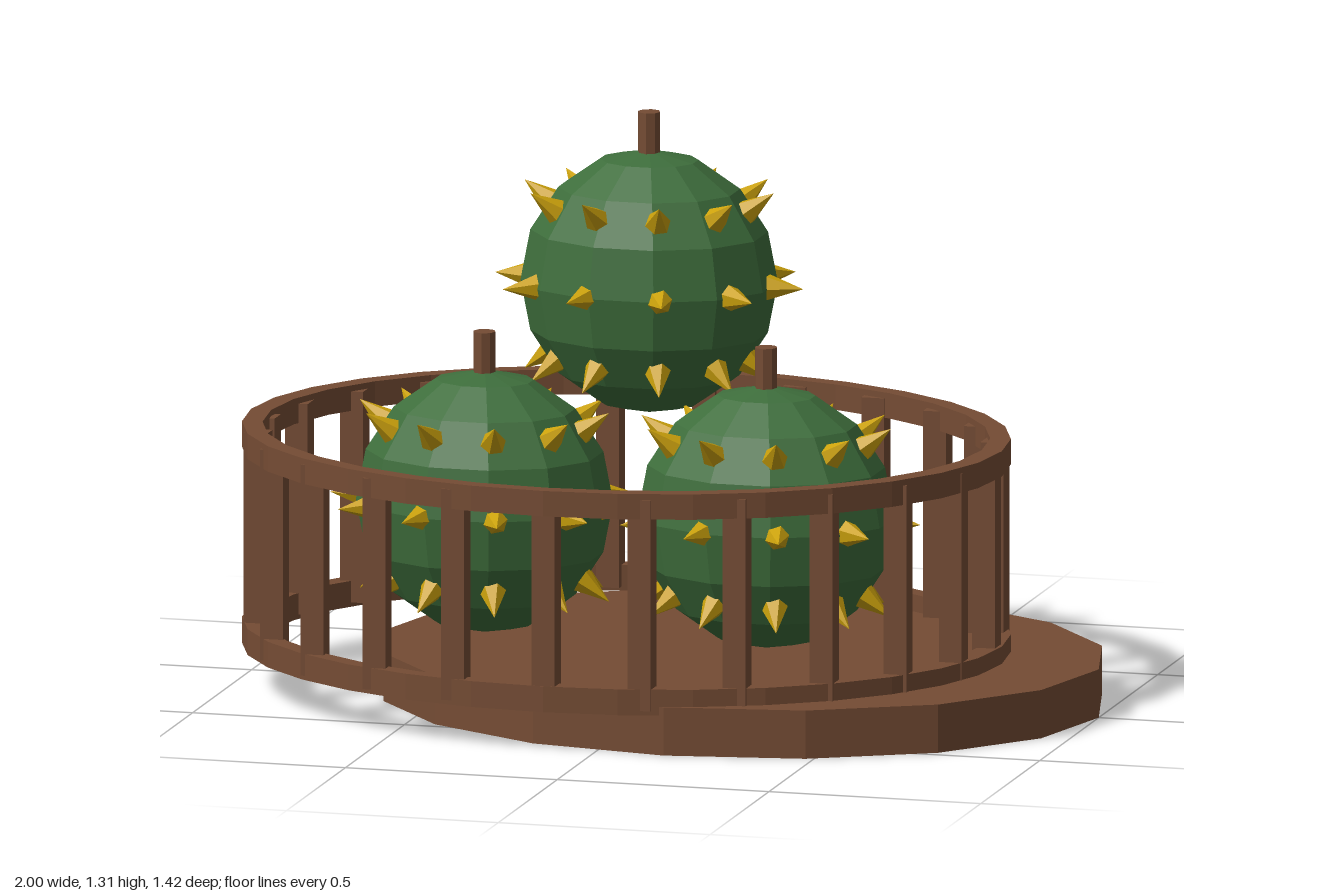
import * as THREE from 'three';

export function createModel() {
  const model = new THREE.Group();
  const material = (name, color) => {
    const m = new THREE.MeshStandardMaterial({ color, flatShading: true });
    m.name = name;
    return m;
  };
  const wood = material('brown wood', 0x754c34);
  const green = material('green rind', 0x3e6e3c);
  const gold = material('golden spike', 0xcca20c);

  const add = (parent, name, geometry, mat, x = 0, y = 0, z = 0) => {
    const mesh = new THREE.Mesh(geometry, mat);
    mesh.name = name;
    mesh.position.set(x, y, z);
    parent.add(mesh);
    return mesh;
  };

  // Oval base slab, offset to the left of the basket
  add(model, 'base', new THREE.CylinderGeometry(1, 1, 0.112, 16).scale(0.84, 1, 0.675), wood, 0.16, 0.056, 0);

  // Basket: two oval rails joined by upright posts
  const basket = new THREE.Group();
  basket.name = 'basket';
  basket.position.x = -0.115;
  model.add(basket);
  const stretch = 1.25;
  const rail = (name, y0, y1) => {
    const profile = [[0.671, y0], [0.709, y0], [0.709, y1], [0.671, y1], [0.671, y0]]
      .map(([r, y]) => new THREE.Vector2(r, y));
    add(basket, name, new THREE.LatheGeometry(profile, 32).scale(stretch, 1, 1), wood);
  };
  rail('lowerRail', 0.092, 0.152);
  rail('upperRail', 0.547, 0.606);

  const postGeometry = new THREE.BoxGeometry(0.054, 0.49, 0.053);
  for (let i = 0; i < 24; i++) {
    const a = (i / 24) * Math.PI * 2;
    add(basket, 'post', postGeometry, wood, 0.68 * stretch * Math.cos(a), 0.347, 0.68 * Math.sin(a));
  }

  // Spiky fruit: faceted oval body, stem and three rows of ten spikes
  const radii = new THREE.Vector3(0.296, 0.305, 0.248);
  const bodyGeometry = new THREE.SphereGeometry(1, 12, 8).rotateY(Math.PI / 12).scale(radii.x, radii.y, radii.z);
  const stemGeometry = new THREE.CylinderGeometry(0.026, 0.026, 0.12, 8);
  const spikeGeometry = new THREE.ConeGeometry(0.034, 0.09, 6);
  const up = new THREE.Vector3(0, 1, 0);

  const fruit = (name, x, y, z) => {
    const group = new THREE.Group();
    group.name = name;
    group.position.set(x, y, z);
    model.add(group);
    add(group, 'body', bodyGeometry, green);
    add(group, 'stem', stemGeometry, wood, 0, 0.333, 0);
    for (const polar of [0.3, 0.5, 0.7]) {
      for (let i = 0; i < 10; i++) {
        const dir = new THREE.Vector3().setFromSphericalCoords(1, polar * Math.PI, Math.PI / 2 + i * Math.PI / 5);
        const p = dir.clone().multiply(radii).addScaledVector(dir, 0.023);
        add(group, 'spike', spikeGeometry, gold, p.x, p.y, p.z).quaternion.setFromUnitVectors(up, dir);
      }
    }
  };
  fruit('rightFruit', -0.45, 0.424, 0);
  fruit('leftFruit', 0.215, 0.424, 0);
  fruit('topFruit', -0.117, 0.913, -0.2);

  return model;
}
